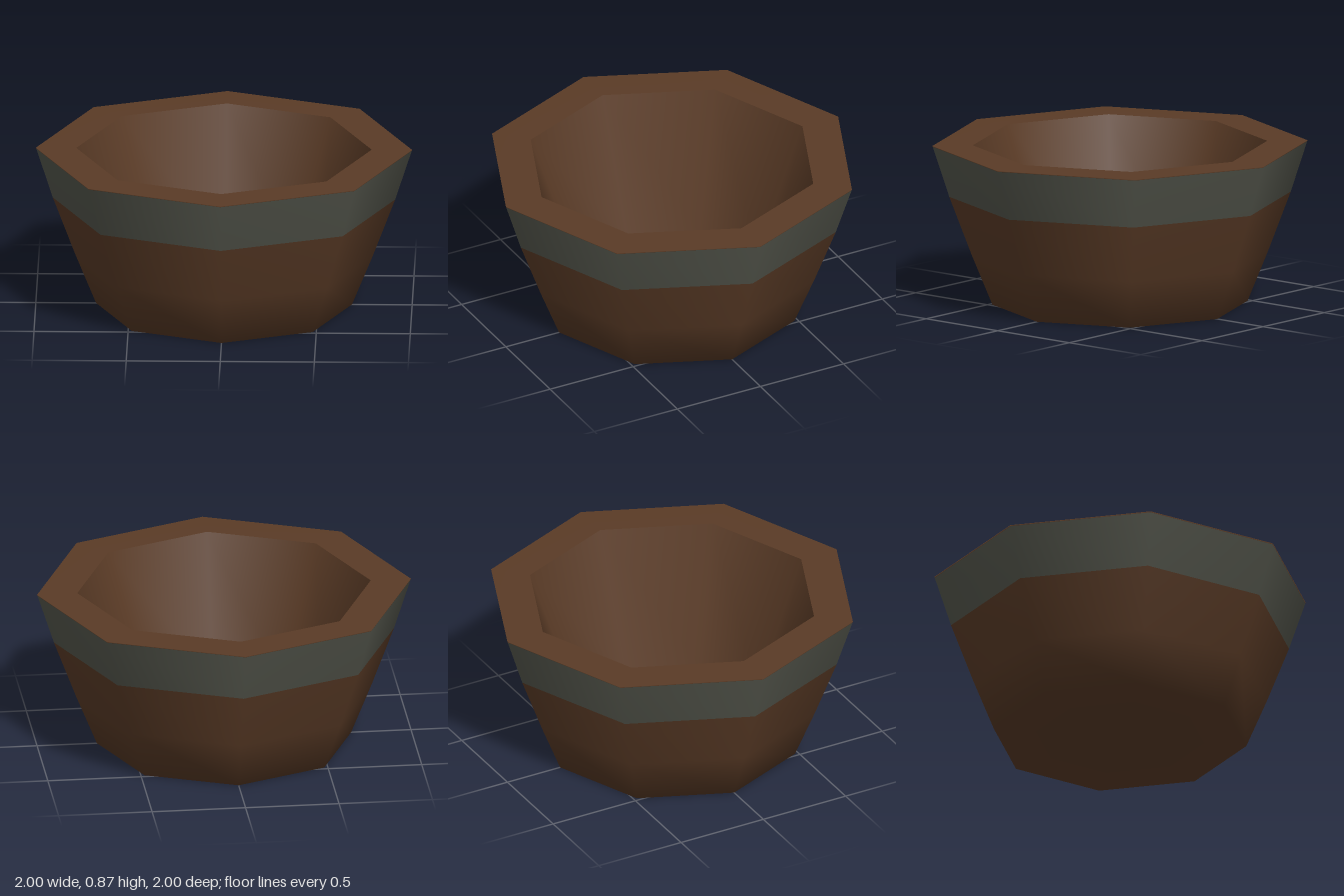
import * as THREE from 'three';

const SIDES = 8;
const wood = new THREE.MeshStandardMaterial({ color: 0x5a3b26 });
wood.name = 'brownWood';
const band = new THREE.MeshStandardMaterial({ color: 0x54564c });
band.name = 'greyBand';

// Eight-sided surface of revolution from [radius, height] pairs
const turn = (profile) =>
  new THREE.LatheGeometry(profile.map(([r, y]) => new THREE.Vector2(r, y)), SIDES);

function addPart(group, name, geometry, material) {
  const mesh = new THREE.Mesh(geometry, material);
  mesh.name = name;
  group.add(mesh);
}

export function createModel() {
  const bowl = new THREE.Group();
  bowl.name = 'bowl';

  // Outer shell: base, flared wall, grey band and flat rim, smoothly shaded as one skin
  const outer = [
    [0, 0], [0.68, 0], [0.79, 0.27], [0.91, 0.588],
    [0.998, 0.86], [1, 0.865], [0.785, 0.865],
  ];
  const bandRow = 3;
  const rows = outer.length - 1;
  const shell = turn(outer);
  for (let i = 0; i < SIDES * rows; i++) {
    shell.addGroup(i * 6, 6, i % rows === bandRow ? 1 : 0);
  }
  addPart(bowl, 'outerShell', shell, [wood, band]);

  // Inside of the bowl, with hard edges at the rim and the floor
  addPart(bowl, 'innerWall', turn([[0.785, 0.865], [0.517, 0.15]]), wood);
  addPart(bowl, 'innerFloor', turn([[0.517, 0.15], [0, 0.15]]), wood);

  return bowl;
}
